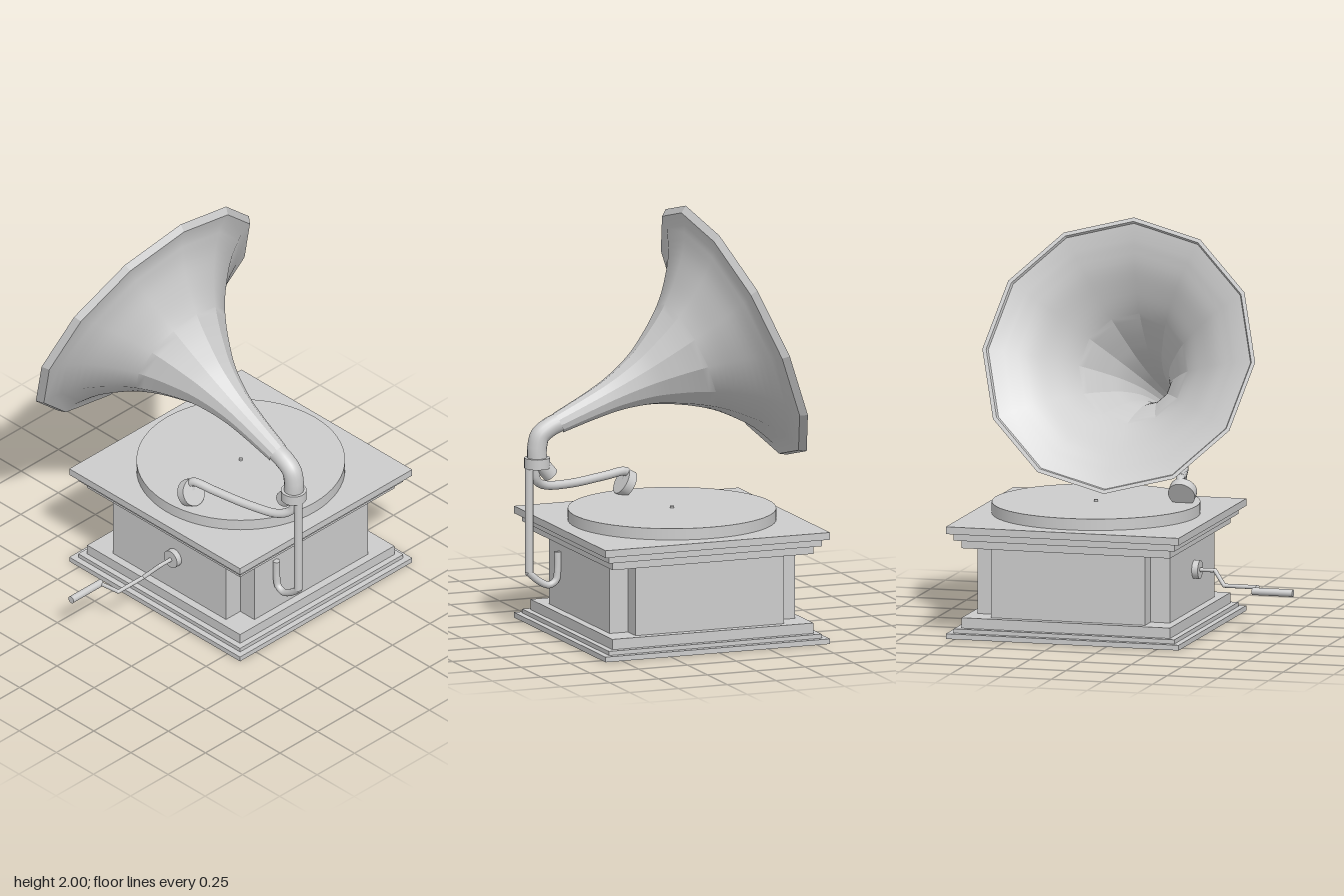
import * as THREE from 'three';
import { toCreasedNormals } from 'three/addons/utils/BufferGeometryUtils.js';

export function createModel() {
  const model = new THREE.Group();
  const grey = new THREE.MeshStandardMaterial({ color: 0xcccccc });
  grey.name = 'plain grey';
  const V = (x, y, z) => new THREE.Vector3(x, y, z);
  const CX = 0.01, CZ = -0.2175; // cabinet centre

  function add(name, geometry, x = 0, y = 0, z = 0) {
    const mesh = new THREE.Mesh(geometry, grey);
    mesh.name = name;
    mesh.position.set(x, y, z);
    model.add(mesh);
    return mesh;
  }

  // Box on the cabinet axis between two heights
  function slab(name, width, depth, y0, y1) {
    add(name, new THREE.BoxGeometry(width, y1 - y0, depth), CX, (y0 + y1) / 2, CZ);
  }

  // Straight cylinder from a to b
  function rod(name, a, b, radius, sides = 20) {
    const dir = b.clone().sub(a);
    const mesh = add(name, new THREE.CylinderGeometry(radius, radius, dir.length(), sides));
    mesh.position.copy(a).add(b).multiplyScalar(0.5);
    mesh.quaternion.setFromUnitVectors(V(0, 1, 0), dir.normalize());
  }

  // Smooth bent pipe with closed ends
  function pipe(name, points, radius) {
    const curve = new THREE.CatmullRomCurve3(points);
    add(name, new THREE.TubeGeometry(curve, 40, radius, 16));
    [0, 1].forEach((t) => {
      const cap = add(name + 'End', new THREE.CircleGeometry(radius, 16));
      cap.position.copy(curve.getPointAt(t));
      const out = curve.getTangentAt(t).multiplyScalar(t ? 1 : -1);
      cap.quaternion.setFromUnitVectors(V(0, 0, 1), out);
    });
  }

  // Cabinet: stepped plinth, body with notched corners, stepped top
  slab('plinthBottom', 1.15, 1.15, 0, 0.025);
  slab('plinthMiddle', 1.09, 1.09, 0.025, 0.045);
  slab('plinthTop', 1.03, 1.03, 0.045, 0.095);
  slab('bodySides', 0.95, 0.76, 0.095, 0.43);
  slab('bodyFrontBack', 0.76, 0.95, 0.095, 0.43);
  slab('corniceBottom', 1.03, 1.03, 0.43, 0.47);
  slab('corniceMiddle', 1.09, 1.09, 0.47, 0.505);
  slab('corniceTop', 1.15, 1.15, 0.505, 0.54);

  // Turntable and spindle
  add('turntable', new THREE.CylinderGeometry(0.495, 0.495, 0.055, 64), CX, 0.5675, CZ);
  add('spindle', new THREE.CylinderGeometry(0.009, 0.009, 0.02, 12), CX, 0.595, CZ);

  // Horn: twelve-sided flared shell, radius against distance from the mouth
  const flare = new THREE.CatmullRomCurve3([
    [0.59, 0.042], [0.48, 0.098], [0.382, 0.175], [0.305, 0.25], [0.237, 0.34], [0.185, 0.425],
    [0.141, 0.508], [0.108, 0.6], [0.083, 0.7], [0.067, 0.82], [0.052, 0.99],
  ].map(([r, s]) => V(r, s, 0))).getPoints(36);
  const outer = flare.map((p) => new THREE.Vector2(p.x, p.y));
  const inner = flare.map((p) => new THREE.Vector2(p.x - 0.012, p.y - 0.008)).reverse();
  const profile = [
    ...inner,
    new THREE.Vector2(0.648, 0.012), new THREE.Vector2(0.655, 0),
    new THREE.Vector2(0.674, 0), new THREE.Vector2(0.652, 0.033),
    ...outer,
  ];
  const horn = add('horn', toCreasedNormals(new THREE.LatheGeometry(profile, 12), 0.42), -0.415, 1.378, 0.018);
  horn.rotation.z = Math.atan2(-0.9235, -0.3835);

  // Elbow, collar and stub that carry the horn
  pipe('hornElbow', [V(0.48, 1.008, 0.018), V(0.54, 0.983, 0.018), V(0.59, 0.945, 0.018),
    V(0.605, 0.89, 0.018), V(0.605, 0.81, 0.018)], 0.047);
  add('collar', new THREE.CylinderGeometry(0.061, 0.061, 0.05, 32), 0.605, 0.815, 0.018);
  rod('elbowStub', V(0.6, 0.825, 0.018), V(0.535, 0.75, 0.018), 0.039);

  // Support post and its hook at the cabinet side
  rod('supportPost', V(0.643, 0.285, 0.026), V(0.643, 0.8, 0.026), 0.02);
  pipe('supportHook', [V(0.65, 0.288, 0.026), V(0.59, 0.238, 0.026), V(0.54, 0.217, 0.026),
    V(0.506, 0.237, 0.026), V(0.497, 0.29, 0.026), V(0.497, 0.375, 0.026)], 0.017);

  // Tone arm and sound box
  pipe('toneArm', [V(0.61, 0.8, 0.02), V(0.604, 0.73, 0.03), V(0.55, 0.695, 0.06), V(0.4, 0.684, 0.1),
    V(0.2, 0.697, 0.15), V(0.09, 0.705, 0.176), V(0.072, 0.69, 0.182), V(0.08, 0.66, 0.186)], 0.021);
  rod('soundBox', V(0.065, 0.635, 0.188), V(0.104, 0.657, 0.188), 0.066, 32);

  // Crank: boss, bent rod and handle
  rod('crankBoss', V(0.045, 0.285, 0.25), V(0.045, 0.285, 0.287), 0.045, 24);
  const bends = [V(0.045, 0.284, 0.28), V(0.045, 0.284, 0.36), V(-0.005, 0.222, 0.42),
    V(-0.005, 0.222, 0.585), V(-0.115, 0.222, 0.598)];
  for (let i = 1; i < bends.length; i++) {
    rod('crankRod', bends[i - 1], bends[i], 0.01, 12);
    add('crankJoint', new THREE.SphereGeometry(0.01, 12, 8), ...bends[i].toArray());
  }
  rod('crankHandle', V(-0.115, 0.222, 0.592), V(-0.115, 0.222, 0.792), 0.018);

  return model;
}
